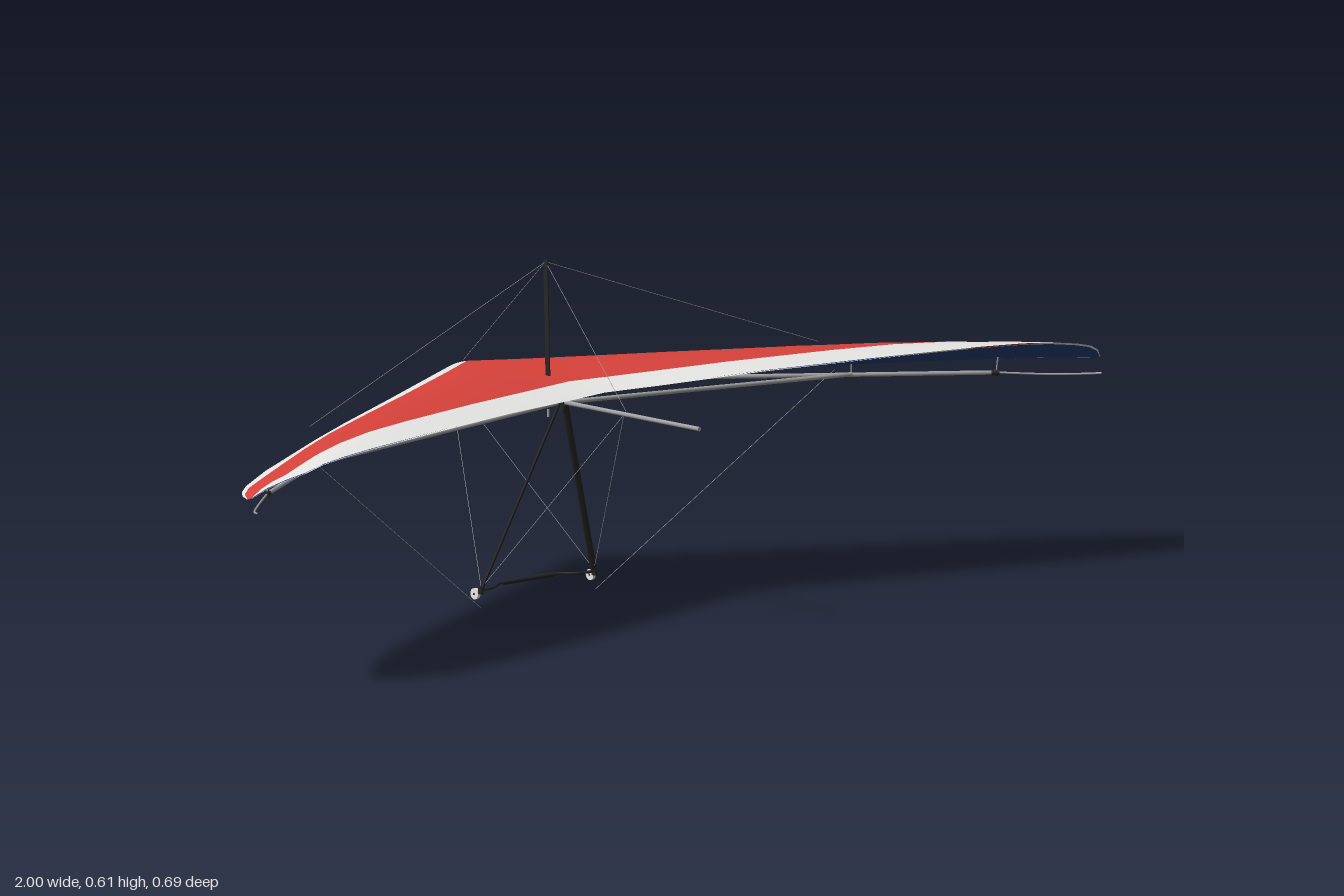
import * as THREE from 'three';

const mat = (name, color, extra = {}) => Object.assign(new THREE.MeshStandardMaterial({ color, ...extra }), { name });

// Half-span stations: x, leading edge z, front of red, back of red, trailing edge z,
// leading y, trailing y, camber, nose fullness
const STATIONS = [
  [0, -0.345, -0.275, -0.005, 0.09, 0.365, 0.397, 0.013, 7],
  [0.1, -0.293, -0.218, 0.02, 0.117, 0.363, 0.4, 0.01, 6.5],
  [0.3, -0.185, -0.105, 0.075, 0.171, 0.36, 0.408, 0.005, 5.5],
  [0.5, -0.08, 0.0, 0.128, 0.226, 0.357, 0.412, 0.003, 4.3],
  [0.62, -0.015, 0.057, 0.16, 0.257, 0.355, 0.413, 0.003, 3.4],
  [0.72, 0.04, 0.105, 0.193, 0.28, 0.354, 0.413, 0.003, 2.4],
  [0.8, 0.085, 0.145, 0.222, 0.297, 0.353, 0.411, 0.003, 1.7],
  [0.86, 0.125, 0.172, 0.25, 0.309, 0.352, 0.407, 0.003, 1.4],
  [0.91, 0.16, 0.195, 0.268, 0.32, 0.352, 0.4, 0.003, 1.2],
  [0.95, 0.195, 0.213, 0.276, 0.31, 0.352, 0.39, 0.003, 1.2],
  [0.98, 0.23, 0.236, 0.28, 0.295, 0.353, 0.377, 0.002, 1.2],
  [1, 0.265, 0.266, 0.277, 0.278, 0.355, 0.36, 0, 1],
];
const ROWS = [...STATIONS.slice(1).reverse().map(([x, ...r]) => [-x, ...r]), ...STATIONS];

const upperY = (r, t) =>
  r[5] + (r[6] - r[5]) * (1 - (1 - t) ** r[8]) + r[7] * Math.sin(Math.PI * Math.sqrt(t));
const lowerY = (r, t) =>
  r[5] + (r[6] - r[5]) * t - 0.007 * Math.sin(Math.PI * Math.min(1, t * 4)) * (1 - Math.abs(r[0]) ** 6) - 0.002 * t;

// Sail skin: chordwise bands, each [band start z, band end z, divisions], one geometry group per band
function skin(bands, height, flip) {
  const pos = [], index = [], geo = new THREE.BufferGeometry();
  const cols = bands.reduce((n, b) => n + b[2], 1);
  for (const r of ROWS) {
    const put = (z) => {
      const t = THREE.MathUtils.clamp((z - r[1]) / (r[4] - r[1]), 0, 1);
      pos.push(r[0], height(r, t), z);
    };
    put(bands[0][0](r));
    for (const [from, to, n] of bands)
      for (let k = 1; k <= n; k++) put(THREE.MathUtils.lerp(from(r), to(r), k / n));
  }
  let col = 0;
  bands.forEach(([, , n], m) => {
    const start = index.length;
    for (let j = col; j < col + n; j++)
      for (let i = 0; i < ROWS.length - 1; i++) {
        const a = i * cols + j, b = a + 1, c = a + cols, d = c + 1;
        index.push(...(flip ? [a, c, b, b, c, d] : [a, b, c, b, d, c]));
      }
    geo.addGroup(start, index.length - start, m);
    col += n;
  });
  geo.setAttribute('position', new THREE.Float32BufferAttribute(pos, 3));
  geo.setIndex(index);
  geo.computeVertexNormals();
  return geo;
}

export function createModel() {
  const group = new THREE.Group();
  const pale = mat('pale sailcloth', 0xe8e8e6, { side: THREE.DoubleSide });
  const red = mat('red sailcloth', 0xd8423b, { side: THREE.DoubleSide });
  const navy = mat('navy sailcloth', 0x28427a, { side: THREE.DoubleSide });
  const black = mat('black tube', 0x262626);
  const metal = mat('grey metal', 0xa2a2a2);
  const wire = mat('wire', 0xb0b0b0);

  const add = (name, geo, material) => {
    const mesh = new THREE.Mesh(geo, material);
    mesh.name = name;
    group.add(mesh);
    return mesh;
  };
  const V = (p) => new THREE.Vector3(...p);
  // Straight tube between two points; flat narrows its width across x
  const rod = (name, a, b, radius, material, sides = 10, flat = 1) => {
    const A = V(a), B = V(b), dir = B.clone().sub(A);
    const geo = new THREE.CylinderGeometry(radius, radius, dir.length(), sides);
    geo.scale(flat, 1, 1);
    const mesh = add(name, geo, material);
    mesh.position.copy(A).add(B).multiplyScalar(0.5);
    mesh.quaternion.setFromUnitVectors(new THREE.Vector3(0, 1, 0), dir.normalize());
  };
  const cable = (name, a, b) => rod(name, a, b, 0.0005, wire, 5);
  const bent = (name, points, radius, material) =>
    add(name, new THREE.TubeGeometry(new THREE.CatmullRomCurve3(points.map(V)), 32, radius, 8), material);

  // Sail
  const edge = (k) => (r) => r[k];
  const chord = (t) => (r) => THREE.MathUtils.lerp(r[1], r[4], t);
  add('upperSail', skin([[edge(1), edge(2), 10], [edge(2), edge(3), 8], [edge(3), edge(4), 4]], upperY, false),
    [pale, red, pale]);
  add('lowerSail', skin([[chord(0), chord(0.1), 3], [chord(0.1), chord(0.96), 12], [chord(0.96), chord(1), 1]], lowerY, true),
    [pale, navy, pale]);

  // Keel and king post
  rod('keel', [0, 0.36, -0.325], [0, 0.365, 0.34], 0.004, metal);
  rod('kingPost', [0, 0.345, -0.059], [0, 0.61, -0.067], 0.0058, black, 12, 0.45);
  rod('kingPostFoot', [0, 0.33, -0.06], [0, 0.35, -0.06], 0.002, metal);
  rod('apexBracket', [0, 0.343, -0.022], [0, 0.372, -0.018], 0.007, black);

  for (const s of [-1, 1]) {
    const side = s > 0 ? 'left' : 'right';
    // Frame tubes under the sail
    rod(side + 'LeadingTube', [s * 0.015, 0.357, -0.31], [s * 0.86, 0.332, 0.16], 0.004, metal);
    rod(side + 'CrossBar', [0, 0.36, -0.03], [s * 0.63, 0.34, 0.035], 0.004, metal);
    rod(side + 'TubeCap', [s * 0.852, 0.332, 0.156], [s * 0.864, 0.332, 0.163], 0.0052, black);
    rod(side + 'TipPost', [s * 0.86, 0.332, 0.16], [s * 0.86, 0.36, 0.165], 0.0014, metal);
    rod(side + 'CrossBarPost', [s * 0.63, 0.338, 0.035], [s * 0.63, 0.362, 0.035], 0.0014, metal);
    bent(side + 'TipWand', [[s * 0.86, 0.332, 0.16], [s * 0.93, 0.328, 0.215], [s * 0.98, 0.329, 0.262], [s * 0.995, 0.332, 0.288]],
      0.0018, metal);

    // Control frame upright, corner and wheel
    rod(side + 'Upright', [s * 0.004, 0.366, -0.022], [s * 0.133, 0.032, -0.088], 0.0058, black, 12, 0.45);
    rod(side + 'Corner', [s * 0.134, 0.026, -0.088], [s * 0.134, 0.04, -0.088], 0.005, black);
    const wheel = add(side + 'Wheel', new THREE.CylinderGeometry(0.01, 0.01, 0.006, 20), pale);
    wheel.rotation.z = Math.PI / 2;
    wheel.position.set(s * 0.136, 0.025, -0.1);
    rod(side + 'Axle', [s * 0.132, 0.025, -0.1], [s * 0.1405, 0.025, -0.1], 0.002, black);

    // Rigging
    const corner = [s * 0.133, 0.036, -0.088];
    cable(side + 'LowerSideWire', [s * 0.135, 0.001, -0.086], [s * 0.62, 0.345, 0.002]);
    cable(side + 'LowerNoseWire', corner, [0, 0.36, -0.32]);
    cable(side + 'LowerRearWire', corner, [0, 0.362, 0.14]);
    cable(side + 'UpperSideWire', [0, 0.607, -0.067], [s * 0.6, 0.395, -0.018]);
  }
  cable('upperNoseWire', [0, 0.607, -0.067], [0, 0.4, -0.285]);
  cable('upperRearWire', [0, 0.607, -0.067], [0, 0.37, 0.145]);

  // Bowed base bar with a thicker grip
  bent('baseBar', [[-0.133, 0.033, -0.088], [-0.1, 0.033, -0.092], [-0.065, 0.033, -0.114], [0, 0.032, -0.116],
    [0.065, 0.033, -0.114], [0.1, 0.033, -0.092], [0.133, 0.033, -0.088]], 0.0026, black);
  rod('baseBarGrip', [-0.06, 0.0325, -0.1145], [0.06, 0.0325, -0.1145], 0.0042, black);

  return group;
}
